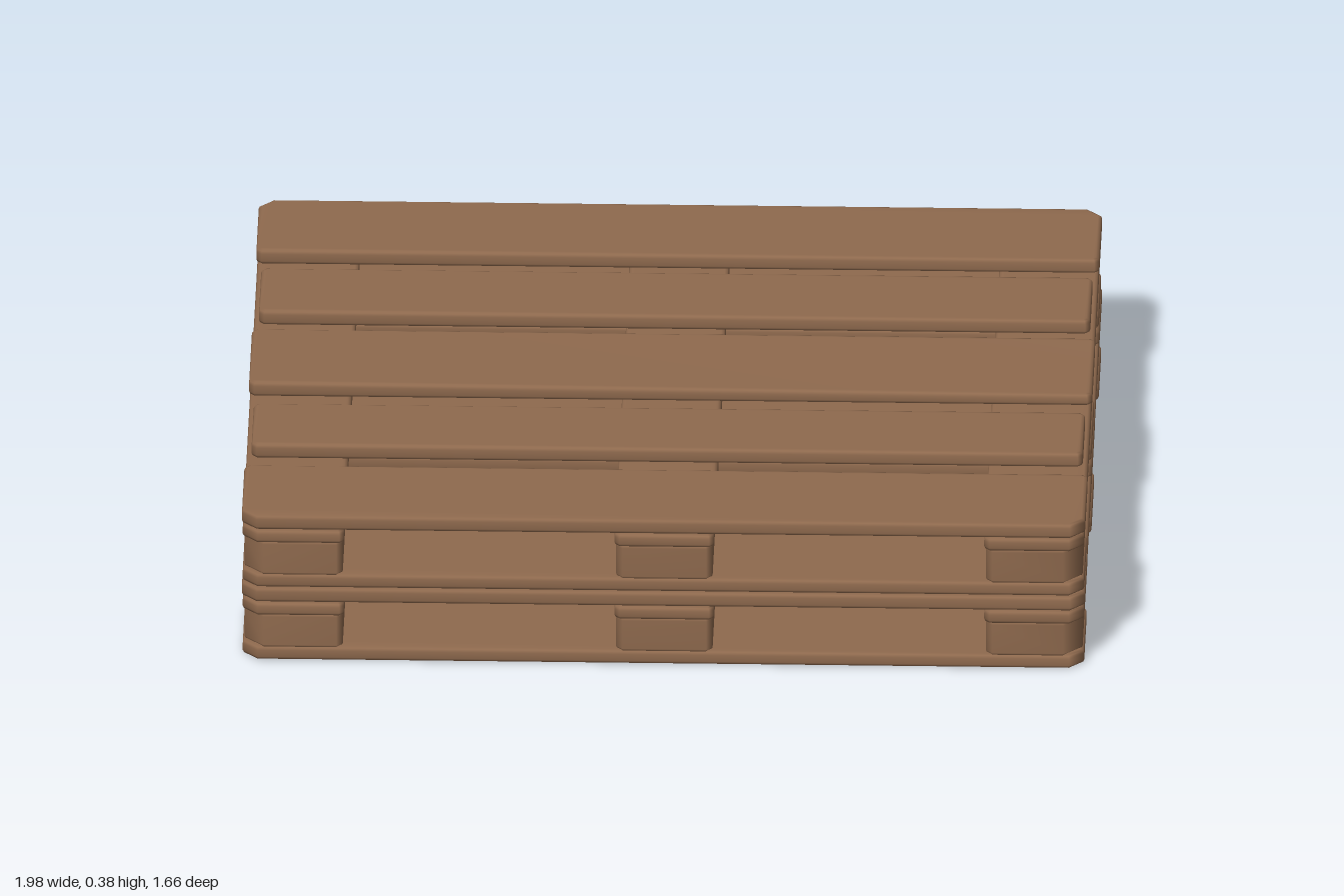
import * as THREE from 'three';
import { mergeVertices } from 'three/addons/utils/BufferGeometryUtils.js';

const wood = new THREE.MeshStandardMaterial({ color: 0x8f6a4e });
wood.name = 'brownWood';

// Plank with clipped corners (deeper on the pallet's outer corners) and worn, bevelled edges
function plank(name, [x0, x1], [y0, y1], [z0, z1], outerCut = 0.035, cut = 0.012) {
  const corners = [[x0, z1, 1, -1], [x1, z1, -1, -1], [x1, z0, -1, 1], [x0, z0, 1, 1]];
  const points = [];
  corners.forEach(([x, z, dx, dz], i) => {
    const c = Math.abs(x) > 0.9 && Math.abs(z) > 0.75 ? outerCut : cut;
    const ends = [[x, z + dz * c], [x + dx * c, z]];
    if (i % 2) ends.reverse();
    ends.forEach(([px, pz]) => points.push(new THREE.Vector2(px, -pz)));
  });
  const b = 0.009;
  let geometry = new THREE.ExtrudeGeometry(new THREE.Shape(points), {
    depth: y1 - y0 - 2 * b, bevelSize: b, bevelThickness: b, bevelOffset: -b, bevelSegments: 2,
  });
  geometry.rotateX(-Math.PI / 2).translate(0, y0 + b, 0);
  geometry.deleteAttribute('uv');
  geometry.deleteAttribute('normal');
  geometry = mergeVertices(geometry, 1e-4);
  geometry.computeVertexNormals();
  const mesh = new THREE.Mesh(geometry, wood);
  mesh.name = name;
  return mesh;
}

const columns = [[-0.99, -0.75], [-0.115, 0.12], [0.755, 0.99]];
const bottomRows = [[-0.82, -0.56], [-0.14, 0.13], [0.562, 0.825]];
const deckRows = [[-0.825, -0.555], [-0.47, -0.24], [-0.155, 0.13], [0.23, 0.45], [0.55, 0.82]];

function pallet(name, base) {
  const group = new THREE.Group();
  group.name = name;
  // Bottom runners along x
  bottomRows.forEach((z) => group.add(plank('bottomBoard', [-0.99, 0.99], [0, 0.035], z)));
  // Spacer blocks, rounded at the outer corners
  for (const [x0, x1] of columns) {
    for (const [z0, z1] of bottomRows) {
      group.add(plank('spacerBlock', [x0 + 0.004, x1 - 0.004], [0.03, 0.122], [z0 + 0.003, z1 - 0.003], 0.045, 0.015));
    }
  }
  // Cross boards along z
  columns.forEach((x) => group.add(plank('crossBoard', x, [0.117, 0.15], [-0.83, 0.826])));
  // Deck boards, the narrow ones slightly shorter
  deckRows.forEach((z, i) => {
    const half = i % 2 ? 0.978 : 0.992;
    group.add(plank('deckBoard', [-half, half], [0.149, 0.186], z));
  });
  group.position.y = base;
  return group;
}

export function createModel() {
  const model = new THREE.Group();
  model.name = 'stackedPallets';
  const lower = pallet('lowerPallet', 0);
  const upper = pallet('upperPallet', 0.191);
  model.add(lower, upper);

  // Warp the middle board of the upper deck: its front right corner sags
  const middle = upper.children.filter((m) => m.name === 'deckBoard')[2].geometry;
  const p = middle.attributes.position;
  for (let i = 0; i < p.count; i++) {
    if (p.getY(i) > 0.17 && p.getX(i) > 0.9 && p.getZ(i) > 0) p.setY(i, p.getY(i) - 0.007);
  }
  middle.computeVertexNormals();
  return model;
}
